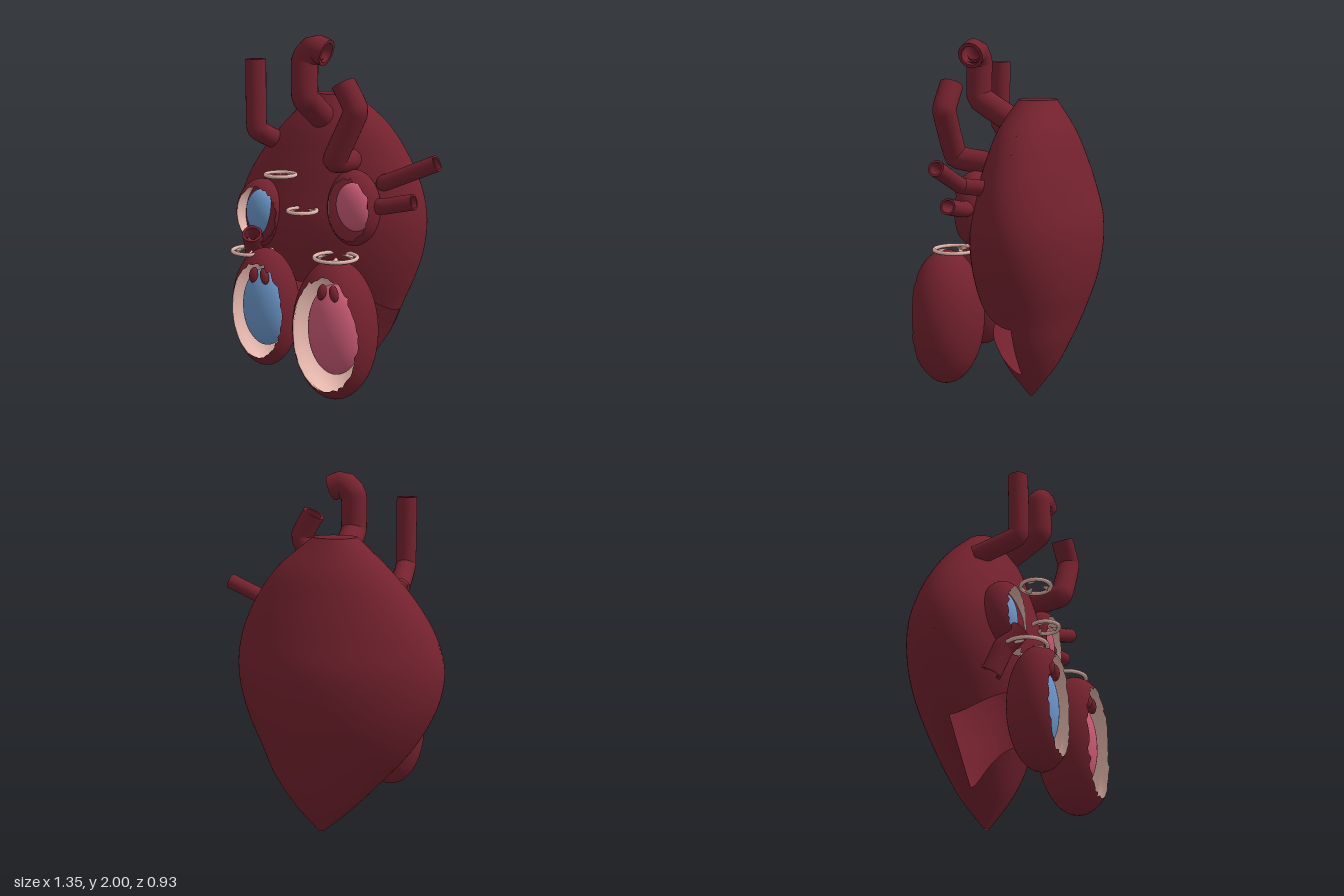
import * as THREE from 'three';
import { ParametricGeometry } from 'three/addons/geometries/ParametricGeometry.js';

const mat = (name, color) => {
  const m = new THREE.MeshStandardMaterial({ color, side: THREE.DoubleSide });
  m.name = name;
  return m;
};

export function createModel() {
  const root = new THREE.Group();
  root.name = 'heart';
  const muscle = mat('muscle', 0x74222e);
  const lining = mat('lining', 0xe3b5ab);
  const blueBlood = mat('blueBlood', 0x6a96c8);
  const redBlood = mat('redBlood', 0xc85a73);

  const add = (name, geometry, material, parent = root) => {
    const mesh = new THREE.Mesh(geometry, material);
    mesh.name = name;
    parent.add(mesh);
    return mesh;
  };
  const group = (name) => {
    const g = new THREE.Group();
    g.name = name;
    root.add(g);
    return g;
  };

  // Outer body: evenly spaced elliptical sections from apex to top
  const H = 1.67, Z0 = -0.12;
  const left = [-0.01, -0.19, -0.345, -0.49, -0.595, -0.66, -0.672, -0.62, -0.515, -0.37, -0.19];
  const right = [0.03, 0.17, 0.28, 0.35, 0.42, 0.468, 0.48, 0.447, 0.37, 0.25, 0.05];
  const depth = [0.01, 0.13, 0.21, 0.27, 0.32, 0.342, 0.338, 0.3, 0.255, 0.2, 0.105];
  const sections = new THREE.CatmullRomCurve3(
    left.map((l, i) => new THREE.Vector3((l + right[i]) / 2, (right[i] - l) / 2, depth[i])),
    false, 'catmullrom', 0.5);
  const bodyPoint = (angle, y, target) => {
    const s = sections.getPoint(THREE.MathUtils.clamp(y / H, 0, 1));
    target.set(s.x + s.y * Math.cos(angle), y, Z0 + s.z * Math.sin(angle));
  };
  const bodyPatch = (name, a0, a1, low, high, rows) =>
    add(name, new ParametricGeometry((u, v, target) => {
      const a = a0 + (a1 - a0) * u;
      const k = Math.sin(a) ** 2;
      bodyPoint(a, THREE.MathUtils.lerp(high(k), low(k), v), target);
    }, 48, rows), muscle, body);

  const body = group('body');
  bodyPatch('backWall', Math.PI, 2 * Math.PI, () => 0, () => H, 60);
  // The front wall is open in a band that rises toward the middle
  bodyPatch('upperFrontWall', 0, Math.PI, (k) => 0.47 + 0.18 * k, () => H, 48);
  bodyPatch('lowerFrontWall', 0, Math.PI, () => 0, (k) => 0.17 + 0.22 * k, 16);
  const cap = add('topCap', new THREE.CircleGeometry(1, 48), muscle, body);
  cap.rotation.x = -Math.PI / 2;
  cap.scale.set(0.12, 0.105, 1);
  cap.position.set(-0.07, H, Z0);

  // Chambers: cut ellipsoid shells with a ragged rim, lining and blood inside
  const COLS = 64;
  const ragged = (u, seed) => {
    const n = Math.sin(((Math.round(u * COLS) % COLS) + seed) * 127.1) * 43758.5453;
    return (n - Math.floor(n) - 0.5) * 0.1;
  };
  const bowl = (seed, inset) => new ParametricGeometry((u, v, target) => {
    const start = 0.93 + ragged(u, seed) * Math.max(0, 1 - v * 8);
    const t = start + (Math.PI - 0.002 - start) * v;
    const s = 1 - inset * Math.min(1, v * 8);
    const a = u * 2 * Math.PI;
    target.set(s * Math.sin(t) * Math.cos(a), s * Math.sin(t) * Math.sin(a), s * Math.cos(t));
  }, COLS, 32);
  const chambers = [
    ['leftVentricle', [0.165, 0.455, 0.335], [0.235, 0.385, 0.21], redBlood, [0.155, 0.25]],
    ['rightVentricle', [-0.285, 0.51, 0.3], [0.193, 0.335, 0.17], blueBlood, [0.14, 0.22]],
    ['leftAtrium', [0.18, 1.085, 0.145], [0.148, 0.208, 0.125], redBlood, [0.107, 0.138]],
    ['rightAtrium', [-0.39, 1.005, 0.145], [0.157, 0.195, 0.125], blueBlood, [0.104, 0.135]],
  ];
  chambers.forEach(([name, centre, radii, blood, size], i) => {
    const g = group(name);
    g.position.set(...centre);
    add('shell', bowl(i * 71 + 3, 0), muscle, g).scale.set(...radii);
    add('lining', bowl(i * 71 + 3, 0.05), lining, g).scale.set(...radii);
    add('blood', new THREE.SphereGeometry(1, 40, 28), blood, g)
      .scale.set(size[0], size[1], radii[2] * 0.52);
    // Two small muscles hang near the top of each ventricle
    if (i < 2) for (const side of [-1, 1]) {
      const m = add('papillaryMuscle', new THREE.SphereGeometry(1, 16, 12), muscle, g);
      m.scale.set(0.024, 0.045, 0.026);
      m.position.set(side * 0.035, size[1] - 0.025, radii[2] * 0.4);
      m.rotation.z = side * 0.2;
    }
  });

  // Vessels: hollow tubes along bent paths, open at the last point
  const vessel = (name, r, points) => {
    const g = group(name);
    const path = new THREE.CatmullRomCurve3(
      points.map((p) => new THREE.Vector3(...p)), false, 'catmullrom', 0.12);
    add('wall', new THREE.TubeGeometry(path, 48, r, 24), muscle, g);
    add('lumen', new THREE.TubeGeometry(path, 48, r * 0.74, 24), muscle, g);
    const lip = add('lip', new THREE.RingGeometry(r * 0.74, r, 24), muscle, g);
    lip.position.copy(path.getPoint(1));
    lip.quaternion.setFromUnitVectors(new THREE.Vector3(0, 0, 1), path.getTangent(1));
  };
  vessel('upperVein', 0.056, [[-0.4, 1.4, -0.02], [-0.375, 1.49, 0.22], [-0.375, 1.865, 0.22]]);
  vessel('lowerVein', 0.056, [[-0.46, 0.66, 0.1], [-0.44, 0.8, 0.16], [-0.405, 0.9, 0.24]]);
  vessel('mainArtery', 0.072, [[-0.07, 1.52, -0.02], [-0.07, 1.67, 0.225], [-0.07, 1.87, 0.225],
    [-0.01, 1.93, 0.225], [0.06, 1.905, 0.225]]);
  vessel('lungArtery', 0.064, [[0.13, 1.33, 0.08], [0.135, 1.36, 0.28], [0.262, 1.62, 0.29], [0.185, 1.755, 0.28]]);
  vessel('upperLungVein', 0.043, [[0.31, 1.22, 0.02], [0.36, 1.235, 0.15], [0.655, 1.362, 0.155]]);
  vessel('lowerLungVein', 0.043, [[0.26, 1.1, 0.13], [0.36, 1.11, 0.15], [0.53, 1.15, 0.152]]);

  // Valves: flat rings with three small leaflets
  const valves = [
    ['leftInletValve', [0.145, 0.84, 0.29], 0.115],
    ['rightInletValve', [-0.39, 0.812, 0.265], 0.11],
    ['lungValve', [-0.208, 1.252, 0.255], 0.082],
    ['mainValve', [-0.075, 1.065, 0.255], 0.078],
  ];
  for (const [name, centre, r] of valves) {
    const g = group(name);
    g.position.set(...centre);
    add('ring', new THREE.TorusGeometry(r, 0.011, 10, 40), lining, g).rotation.x = Math.PI / 2;
    for (let i = 0; i < 3; i++) {
      const arm = new THREE.Group();
      arm.name = 'leafletArm';
      arm.rotation.y = i * 2 * Math.PI / 3 + 0.5;
      g.add(arm);
      const leaf = add('leaflet', new THREE.ConeGeometry(r * 0.28, r * 0.55, 8), lining, arm);
      leaf.scale.z = 0.35;
      leaf.position.set(0, 0, r * 0.55);
      leaf.rotation.x = -1.25;
    }
  }
  return root;
}
